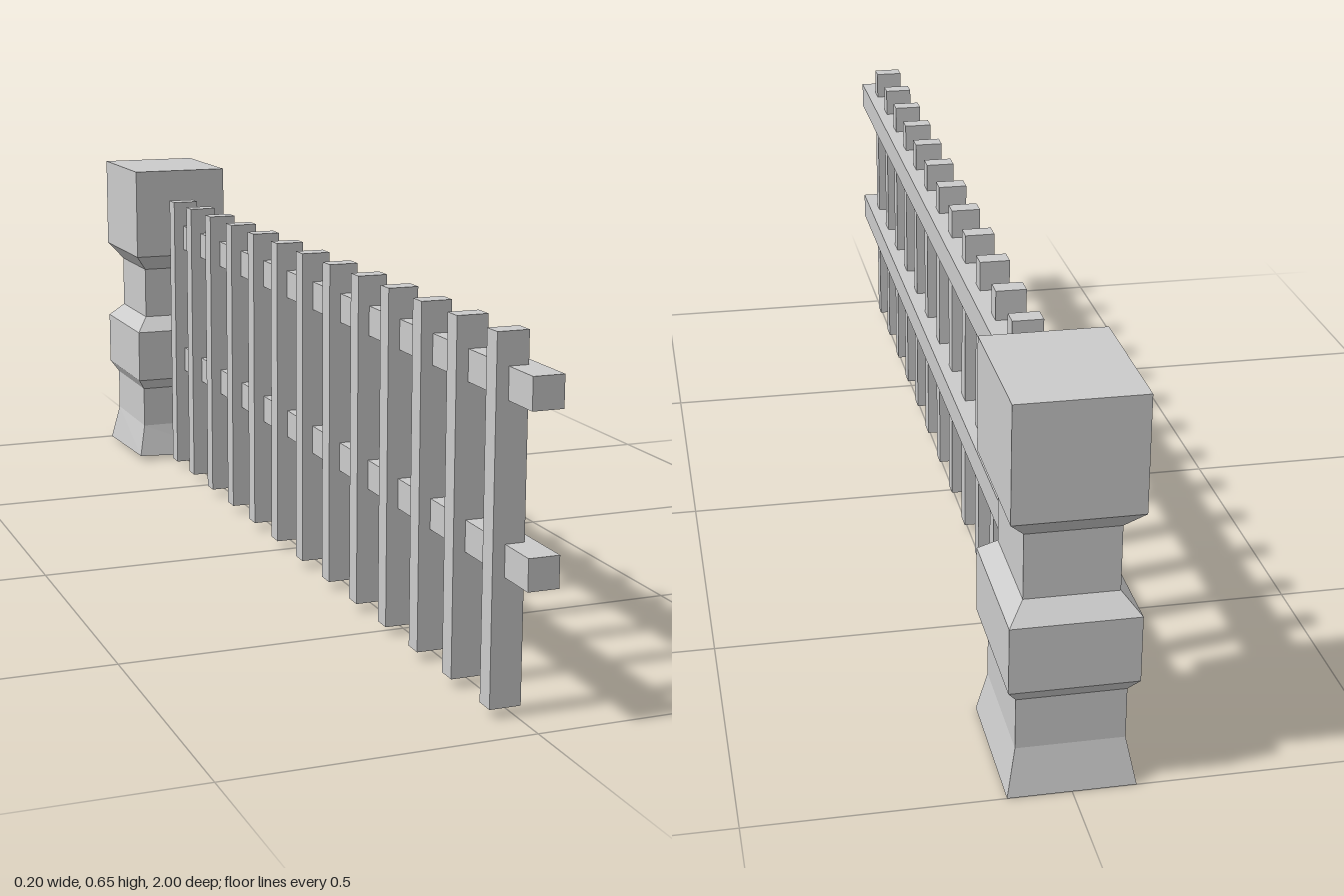
import * as THREE from 'three';

const material = new THREE.MeshStandardMaterial({ color: 0xcccccc, flatShading: true });

// Box given by its extents on each axis
function bar(name, [x0, x1], [y0, y1], [z0, z1]) {
  const mesh = new THREE.Mesh(new THREE.BoxGeometry(x1 - x0, y1 - y0, z1 - z0), material);
  mesh.position.set((x0 + x1) / 2, (y0 + y1) / 2, (z0 + z1) / 2);
  mesh.name = name;
  return mesh;
}

// Four-sided stone post: [relative half width, height] from the ground up
function createPost() {
  const profile = [
    [0, 0], [1, 0], [0.85, 0.075], [0.85, 0.16], [1, 0.183], [1, 0.292],
    [0.735, 0.321], [0.735, 0.428], [1, 0.461], [1, 0.649], [0, 0.649],
  ].map(([r, y]) => new THREE.Vector2(r * Math.SQRT2, y));
  const geometry = new THREE.LatheGeometry(profile, 4, Math.PI / 4);
  geometry.scale(0.1, 1, 0.123);

  // One corner of the foot is slightly lifted
  const p = geometry.attributes.position;
  for (let i = 0; i < p.count; i++) {
    if (p.getY(i) < 0.001 && p.getX(i) < -0.09 && p.getZ(i) > 0.1) p.setY(i, 0.01);
  }
  geometry.computeVertexNormals();

  const post = new THREE.Mesh(geometry, material);
  post.position.z = -0.877;
  post.name = 'post';
  return post;
}

export function createModel() {
  const model = new THREE.Group();
  model.name = 'fence';
  model.add(createPost());

  // Rails running from the post to the open end
  model.add(bar('lowerRail', [-0.023, 0.028], [0.22, 0.271], [-0.757, 1]));
  model.add(bar('upperRail', [-0.023, 0.028], [0.488, 0.539], [-0.757, 1]));

  // Slightly uneven row of pickets
  const pickets = new THREE.Group();
  pickets.name = 'pickets';
  const centres = [0.907, 0.77, 0.639, 0.508, 0.378, 0.246, 0.111,
    -0.024, -0.157, -0.29, -0.425, -0.555, -0.676];
  for (const z of centres) {
    pickets.add(bar('picket', [-0.043, 0.009], [0.015, 0.591], [z - 0.017, z + 0.017]));
  }
  model.add(pickets);
  return model;
}
